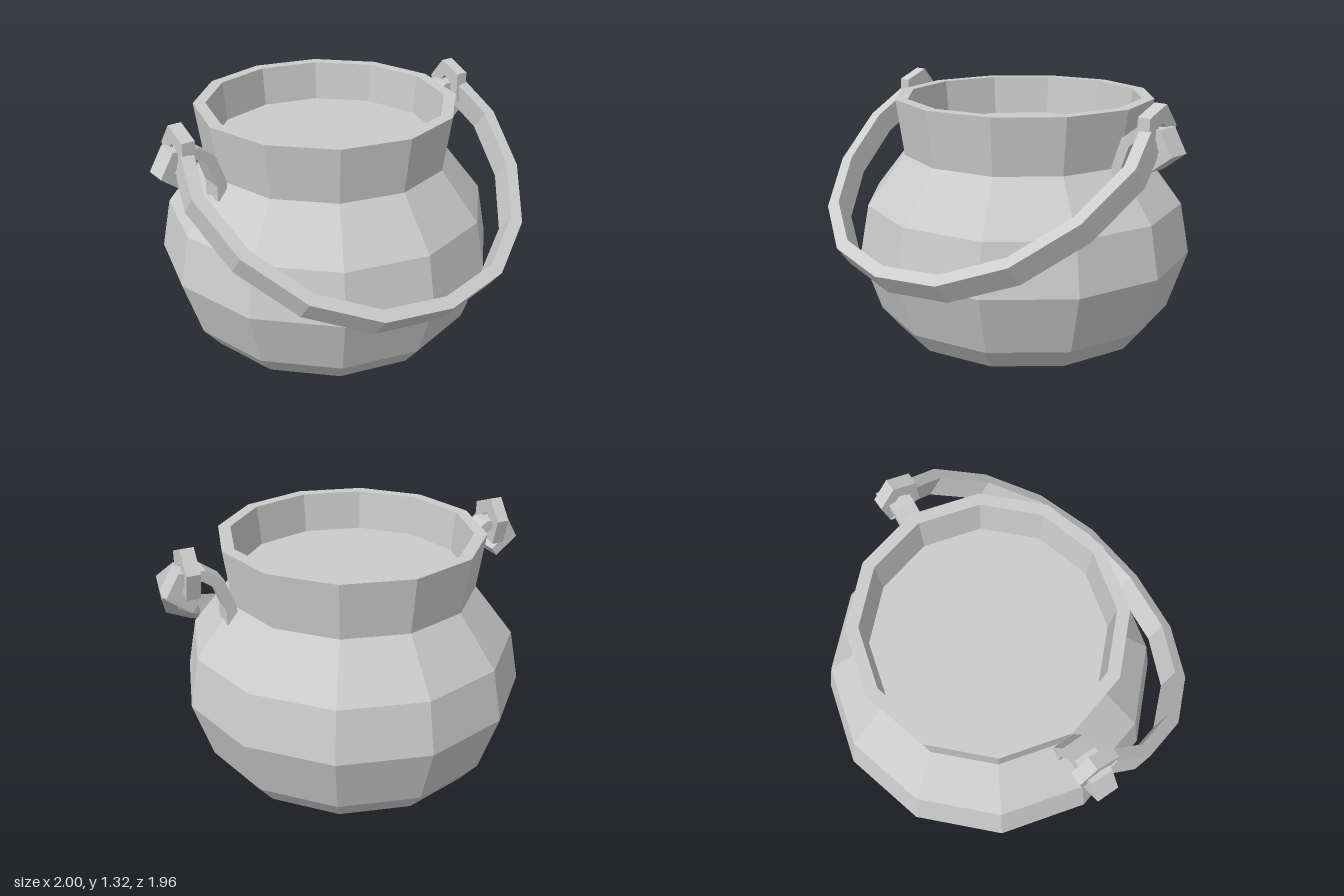
import * as THREE from 'three';

const POT_Z = -0.065;
const material = new THREE.MeshStandardMaterial({ color: 0xcccccc, flatShading: true });
const vectors = (list) => list.map(([x, y]) => new THREE.Vector2(x, y));

// Flat bar following an open path: mitred outline, extruded to the given width.
function barGeometry(path, thickness, width) {
  const pts = vectors(path);
  const left = [], right = [];
  pts.forEach((p, i) => {
    const a = p.clone().sub(pts[Math.max(i - 1, 0)]).normalize();
    const b = pts[Math.min(i + 1, pts.length - 1)].clone().sub(p).normalize();
    const dir = a.clone().add(b).normalize();
    const cosHalf = Math.max(dir.dot(i > 0 ? a : b), 0.5);
    const off = new THREE.Vector2(-dir.y, dir.x).multiplyScalar(thickness / 2 / cosHalf);
    left.push(p.clone().add(off));
    right.unshift(p.clone().sub(off));
  });
  const geometry = new THREE.ExtrudeGeometry(new THREE.Shape([...left, ...right]), {
    depth: width, bevelEnabled: false,
  });
  return geometry.translate(0, 0, -width / 2);
}

function addMesh(parent, name, geometry) {
  const mesh = new THREE.Mesh(geometry, material);
  mesh.name = name;
  parent.add(mesh);
  return mesh;
}

export function createModel() {
  const model = new THREE.Group();
  model.name = 'pot';

  // Twelve-sided body with flared neck and hollow rim
  const profile = vectors([
    [0, 0], [0.715, 0], [0.81, 0.12], [0.912, 0.44], [0.86, 0.71],
    [0.655, 0.97], [0.695, 1.265], [0.63, 1.265], [0.605, 1.02],
  ]);
  addMesh(model, 'body', new THREE.LatheGeometry(profile, 12)).position.z = POT_Z;

  // Level surface of the contents
  const contents = addMesh(model, 'contents', new THREE.CircleGeometry(0.61, 12));
  contents.rotation.x = -Math.PI / 2;
  contents.position.set(0, 1.05, POT_Z);

  // Curled ears on the neck, one on each side
  const ear = barGeometry([
    [0.68, 0.89], [0.68, 0.98], [0.73, 1.12], [0.805, 1.175],
    [0.915, 1.18], [0.965, 1.095], [0.86, 1.015],
  ], 0.055, 0.12);

  // Hooks that wrap over the ears
  const hook = barGeometry([
    [-0.02, 1.1], [-0.015, 1.24], [0.07, 1.275], [0.13, 1.2], [0.1, 1.08],
  ], 0.07, 0.07);
  hook.rotateY(Math.PI / 2);

  for (const side of [1, -1]) {
    const earMesh = addMesh(model, side > 0 ? 'leftEar' : 'rightEar', ear);
    earMesh.rotation.y = side > 0 ? 0 : Math.PI;
    earMesh.position.z = POT_Z + 0.005;

    const hookMesh = addMesh(model, side > 0 ? 'leftHook' : 'rightHook', hook);
    hookMesh.position.x = side * 0.87;
  }

  // Swinging handle, lowered towards the front
  const half = [[0.365, 0.095], [0.66, 0.295], [0.855, 0.6], [0.93, 0.94], [0.88, 1.16]];
  const mirrored = half.map(([x, y]) => [-x, y]).reverse();
  const handle = addMesh(model, 'handle', barGeometry([...mirrored, [0, 0.033], ...half], 0.066, 0.128));
  handle.rotation.x = -Math.atan2(0.8, 0.6);
  handle.position.set(0, 0.455, 0.94);

  return model;
}
